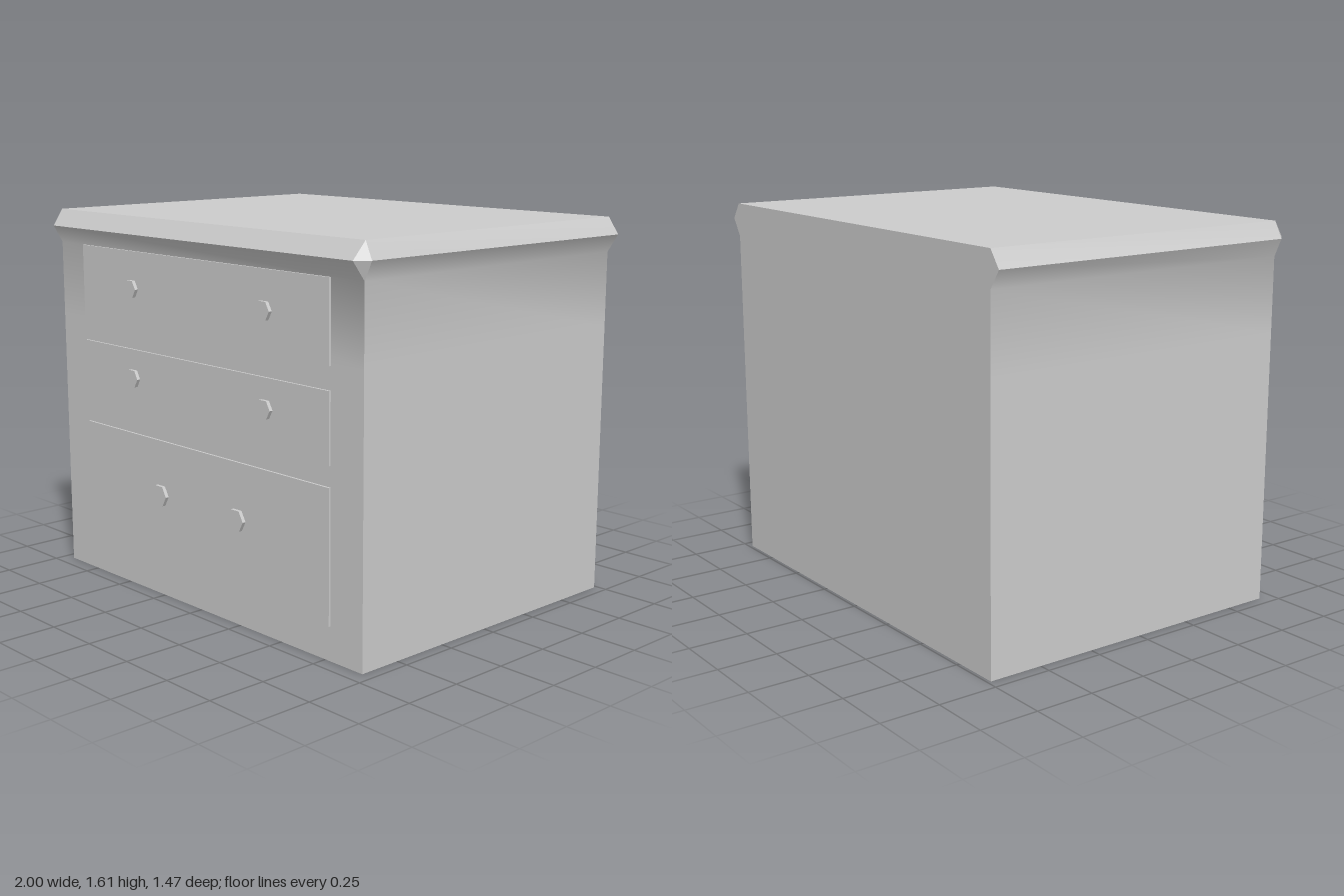
import * as THREE from 'three';
import { toCreasedNormals } from 'three/addons/utils/BufferGeometryUtils.js';

const BACK = -0.735;

// Six-point outline: side at the back, side at the front, front corner, then mirrored
function outline(y, backX, sideX, sideZ, frontX, frontZ) {
  const half = [[backX, BACK], [sideX, sideZ], [frontX, frontZ]];
  const mirrored = half.map(([x, z]) => [-x, z]).reverse();
  return [...half, ...mirrored].map(([x, z]) => new THREE.Vector3(x, y, z));
}

// Closed loft through the outlines, from bottom to top
function loft(rings) {
  const pos = [];
  const tri = (a, b, c) => {
    const area = b.clone().sub(a).cross(c.clone().sub(a)).length();
    if (area > 1e-8) for (const p of [a, b, c]) pos.push(p.x, p.y, p.z);
  };
  for (let r = 0; r < rings.length - 1; r++) {
    const low = rings[r], high = rings[r + 1];
    for (let i = 0; i < low.length; i++) {
      const j = (i + 1) % low.length;
      tri(low[i], high[i], high[j]);
      tri(low[i], high[j], low[j]);
    }
  }
  const bottom = rings[0], top = rings[rings.length - 1];
  for (let i = 1; i < bottom.length - 1; i++) {
    tri(bottom[0], bottom[i], bottom[i + 1]);
    tri(top[0], top[i + 1], top[i]);
  }
  const geometry = new THREE.BufferGeometry();
  geometry.setAttribute('position', new THREE.Float32BufferAttribute(pos, 3));
  return toCreasedNormals(geometry, 0.65);
}

export function createModel() {
  const model = new THREE.Group();
  model.name = 'chestOfDrawers';
  const grey = new THREE.MeshStandardMaterial({ color: 0xcccccc });
  grey.name = 'plain grey';

  const add = (name, geometry, x = 0, y = 0, z = 0) => {
    const mesh = new THREE.Mesh(geometry, grey);
    mesh.name = name;
    mesh.position.set(x, y, z);
    model.add(mesh);
  };

  // Cabinet, flaring softly into a bevelled top with cut front corners
  const wall = (y) => outline(y, 0.95, 0.95, 0.686, 0.95, 0.686);
  add('cabinet', loft([
    wall(0),
    wall(1.15),
    wall(1.465),
    outline(1.54, 1, 0.985, 0.685, 0.94, 0.735),
    outline(1.61, 0.95, 0.95, 0.682, 0.95, 0.682),
  ]));

  // Drawer fronts, each with two six-sided knobs
  const drawers = [
    { name: 'topDrawer', low: 1.14, high: 1.465, knobX: 0.424, knobY: 1.307, r: 0.041 },
    { name: 'middleDrawer', low: 0.765, high: 1.048, knobX: 0.424, knobY: 0.925, r: 0.041 },
    { name: 'bottomDrawer', low: 0.14, high: 0.682, knobX: 0.25, knobY: 0.446, r: 0.048 },
  ];
  for (const d of drawers) {
    const height = d.high - d.low;
    add(d.name, new THREE.BoxGeometry(1.556, height, 0.014), 0, d.low + height / 2, 0.688);
    const knob = new THREE.CylinderGeometry(d.r, d.r, 0.02, 6).rotateY(Math.PI / 6).rotateX(Math.PI / 2);
    const knobGeometry = toCreasedNormals(knob, 0.5);
    for (const side of [-1, 1]) add(d.name + 'Knob', knobGeometry, side * d.knobX, d.knobY, 0.7);
  }
  return model;
}
